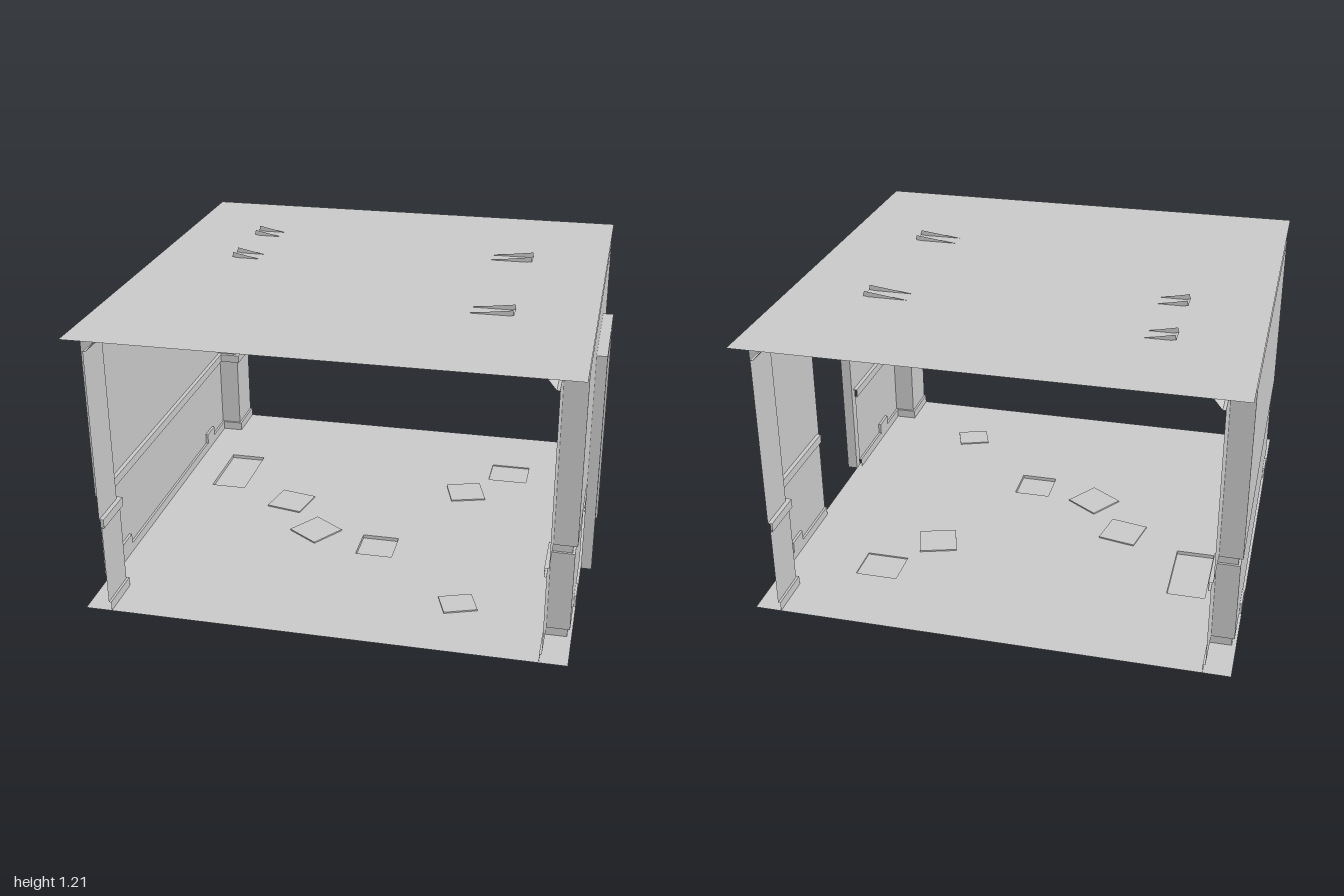
import * as THREE from 'three';

const FLOOR = 0.016, CEILING = 1.19, DEPTH = 0.98, DOOR = 0.23, DOOR_TOP = 0.98;
const LEFT_X = -1, RIGHT_X = 0.955, PILLAR = 0.093;

const material = new THREE.MeshStandardMaterial({
  color: 0xcccccc, flatShading: true, side: THREE.DoubleSide,
});

// Wall section from skirting to cornice: [offset into the room, height]
const WALL_PROFILE = [
  [0.018, FLOOR], [0.018, 0.055], [0.008, 0.055], [0.008, 0.397], [0.018, 0.397],
  [0.018, 0.435], [0, 0.435], [0, 1.15], [0.012, 1.15], [0.045, CEILING],
];
const LINTEL_PROFILE = [[0, DOOR_TOP], [0, 1.15], [0.012, 1.15], [0.045, CEILING]];

function add(parent, name, geometry, x = 0, y = 0, z = 0) {
  const mesh = new THREE.Mesh(geometry, material);
  mesh.name = name;
  mesh.position.set(x, y, z);
  parent.add(mesh);
  return mesh;
}

// Sweeps a wall profile along a plan path; path(o) returns [x, z] points for offset o
function sweep(profile, path) {
  const positions = [];
  const rows = profile.map(([o, y]) => path(o).map(([x, z]) => [x, y, z]));
  for (let i = 0; i < rows.length - 1; i++) {
    for (let j = 0; j < rows[i].length - 1; j++) {
      const a = rows[i][j], b = rows[i][j + 1], c = rows[i + 1][j + 1], d = rows[i + 1][j];
      positions.push(...a, ...b, ...c, ...a, ...c, ...d);
    }
  }
  const geometry = new THREE.BufferGeometry();
  geometry.setAttribute('position', new THREE.Float32BufferAttribute(positions, 3));
  geometry.computeVertexNormals();
  return geometry;
}

// One half of a side wall with its corner pillar; inward and end are +1 or -1
function halfWall(x, inward, end, start) {
  return sweep(WALL_PROFILE, (o) => [
    [o, start], [o, 0.8 - o], [PILLAR + o, 0.8 - o], [PILLAR + o, DEPTH],
  ].map(([d, z]) => [x + inward * d, end * z]));
}

function buildWall(name, x, inward, start) {
  const wall = new THREE.Group();
  wall.name = name;
  for (const end of [1, -1]) {
    add(wall, 'wallAndPillar', halfWall(x, inward, end, start));
    add(wall, 'socket', new THREE.BoxGeometry(0.022, 0.05, 0.1), x + inward * 0.009, 0.077, end * 0.565);
  }
  return wall;
}

// Door surround, an upside-down U
function doorFrame() {
  const s = new THREE.Shape();
  const corners = [[-0.25, FLOOR], [-0.25, 1], [0.25, 1], [0.25, FLOOR],
    [0.21, FLOOR], [0.21, 0.96], [-0.21, 0.96], [-0.21, FLOOR]];
  s.setFromPoints(corners.map(([x, y]) => new THREE.Vector2(x, y)));
  return new THREE.ExtrudeGeometry(s, { depth: 0.045, bevelEnabled: false }).rotateY(Math.PI / 2);
}

function rectangle(Type, x0, x1, z0, z1) {
  return new Type([[x0, -z0], [x1, -z0], [x1, -z1], [x0, -z1]].map(([x, y]) => new THREE.Vector2(x, y)));
}

// Ceiling light: tilted tray with a flat bottom and two long sides
function buildLight(x, y, z, tilt) {
  const light = new THREE.Group();
  light.name = 'ceilingLight';
  add(light, 'lightPanel', new THREE.PlaneGeometry(0.326, 0.07).rotateX(Math.PI / 2));
  for (const side of [1, -1]) {
    add(light, 'lightSide', new THREE.PlaneGeometry(0.326, 0.021), 0, 0.0105, side * 0.035);
  }
  light.position.set(x, y, z);
  light.rotation.z = tilt;
  return light;
}

export function createModel() {
  const room = new THREE.Group();
  room.name = 'room';

  // Floor with missing tiles: [x0, x1, z0, z1, bottom height]
  const pits = [
    [-0.84, -0.68, -0.49, -0.16, 0],
    [-0.02, 0.14, 0.165, 0.33, 0],
    [0.46, 0.64, -0.65, -0.49, 0.01],
  ];
  const floor = rectangle(THREE.Shape, LEFT_X, RIGHT_X, DEPTH, -DEPTH);
  for (const [x0, x1, z0, z1, bottom] of pits) {
    floor.holes.push(rectangle(THREE.Path, x0, x1, z0, z1));
    const w = x1 - x0, l = z1 - z0, h = FLOOR - bottom, cx = (x0 + x1) / 2, cz = (z0 + z1) / 2;
    add(room, 'pitBottom', new THREE.PlaneGeometry(w, l).rotateX(-Math.PI / 2), cx, bottom, cz);
    for (const s of [1, -1]) {
      add(room, 'pitSide', new THREE.PlaneGeometry(w, h), cx, bottom + h / 2, cz + s * l / 2);
      add(room, 'pitSide', new THREE.PlaneGeometry(l, h).rotateY(Math.PI / 2), cx + s * w / 2, bottom + h / 2, cz);
    }
  }
  add(room, 'floor', new THREE.ShapeGeometry(floor).rotateX(-Math.PI / 2), 0, FLOOR, 0);

  // Loose tiles: [x, z, width, length, turn]
  const tiles = [
    [-0.42, -0.07, 0.165, 0.165, -0.2], [-0.24, 0.17, 0.165, 0.165, -0.6],
    [0.37, -0.33, 0.16, 0.16, 0.3], [0.48, 0.64, 0.14, 0.12, 0.35],
  ];
  for (const [x, z, w, l, turn] of tiles) {
    add(room, 'looseTile', new THREE.BoxGeometry(w, 0.006, l), x, FLOOR + 0.003, z).rotation.y = turn;
  }

  // Ceiling and lights
  add(room, 'ceiling', new THREE.PlaneGeometry(RIGHT_X - LEFT_X, 2 * DEPTH).rotateX(-Math.PI / 2),
    (LEFT_X + RIGHT_X) / 2, CEILING, 0);
  for (const z of [-0.49, -0.145]) room.add(buildLight(-0.51, 1.161, z, -0.205));
  for (const z of [-0.345, 0.345]) room.add(buildLight(0.47, 1.172, z, 0.128));

  // Side walls, the right one with a doorway
  room.add(buildWall('leftSideWall', LEFT_X, 1, 0));
  const doorWall = buildWall('doorWall', RIGHT_X, -1, DOOR);
  add(doorWall, 'lintel', sweep(LINTEL_PROFILE, (o) => [[RIGHT_X - o, -DOOR], [RIGHT_X - o, DOOR]]));
  add(doorWall, 'doorFrame', doorFrame(), RIGHT_X, 0, 0);
  room.add(doorWall);

  return room;
}
